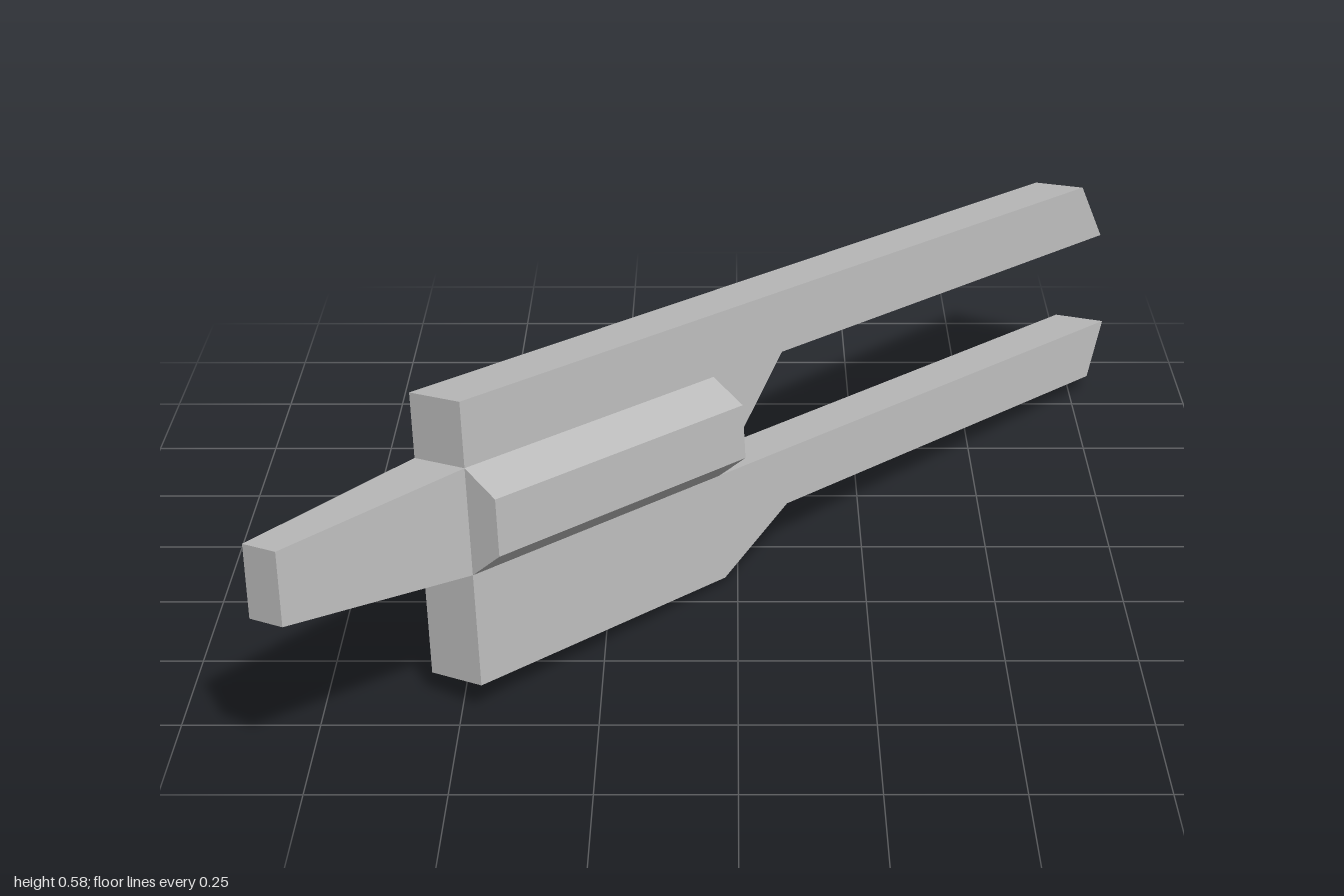
import * as THREE from 'three';

const grey = new THREE.MeshStandardMaterial({ color: 0xbcbcbc });
grey.name = 'grey';

const THICK = 0.125;   // body plate thickness
const MID = -0.222;    // height of the pods' and barrel's centre line

// Box standing on z = 0 whose +z end is scaled by (sx, sy)
function taperedBox(w, h, d, sx, sy) {
  const g = new THREE.BoxGeometry(w, h, d).translate(0, 0, d / 2);
  const p = g.attributes.position;
  for (let i = 0; i < p.count; i++) {
    if (p.getZ(i) > d / 2) p.setXY(i, p.getX(i) * sx, p.getY(i) * sy);
  }
  g.computeVertexNormals();
  return g;
}

function part(name, geometry, parent) {
  const m = new THREE.Mesh(geometry, grey);
  m.name = name;
  parent.add(m);
  return m;
}

export function createModel() {
  const model = new THREE.Group();
  model.name = 'twinProngDevice';

  // Local frame: x runs along the prongs, y up, z through the thickness
  const tilted = new THREE.Group();
  tilted.name = 'tiltedAssembly';
  const u = new THREE.Vector3(0.635, -0.06, -0.77).normalize();
  const v = new THREE.Vector3(0.77, 0.115, 0.628).cross(u).normalize();
  const w = new THREE.Vector3().crossVectors(u, v);
  tilted.quaternion.setFromRotationMatrix(new THREE.Matrix4().makeBasis(u, v, w));
  tilted.position.set(-0.49, 0.583, 0.64);
  model.add(tilted);

  // Flat body with an upper and a lower prong
  const outline = [
    [0, 0], [0, -0.532], [0.69, -0.532], [0.893, -0.435], [1.982, -0.435],
    [2.05, -0.322], [0.69, -0.322], [0.9, -0.122], [2.05, -0.122], [1.982, 0],
  ].map(([x, y]) => new THREE.Vector2(x, y));
  const plate = new THREE.ExtrudeGeometry(new THREE.Shape(outline), { depth: THICK, bevelEnabled: false });
  part('prongedBody', plate.translate(0, 0, -THICK), tilted);

  // Chamfered pod on each side
  const podLength = 0.688;
  for (const side of [1, -1]) {
    const pod = part(side > 0 ? 'leftPod' : 'rightPod', taperedBox(podLength, 0.2, 0.07, 1, 0.53), tilted);
    pod.position.set(podLength / 2, MID, side > 0 ? 0 : -THICK);
    if (side < 0) pod.rotation.y = Math.PI;
  }

  // Tapering nose at the short end
  const nose = part('taperedNose', taperedBox(THICK, 0.2, 0.435, 0.66, 0.67), tilted);
  nose.position.set(0, MID, -THICK / 2);
  nose.rotation.y = -Math.PI / 2;

  return model;
}
